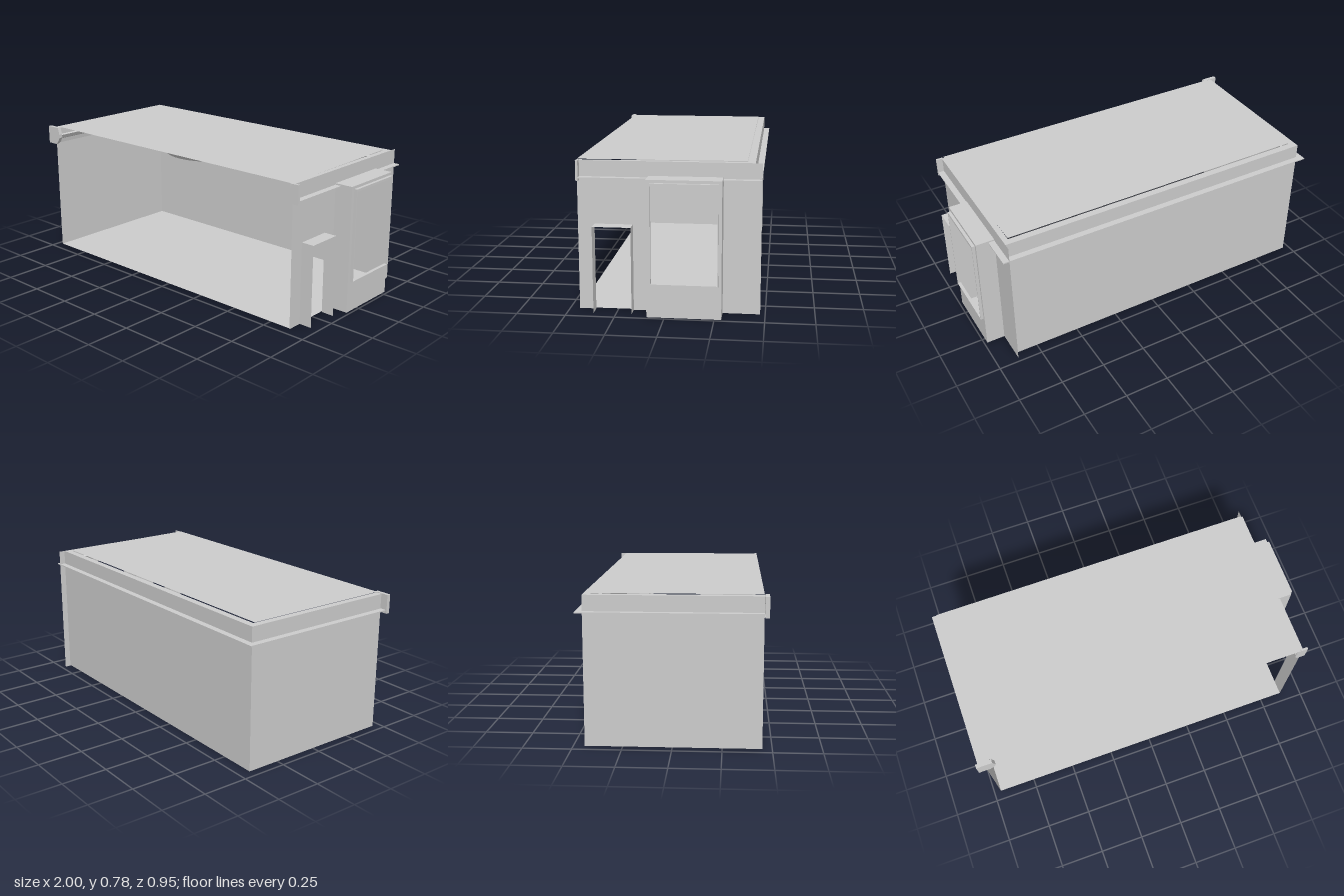
import * as THREE from 'three';

const mat = new THREE.MeshStandardMaterial({ color: 0xcccccc, side: THREE.DoubleSide });

// Room limits
const L = -0.96, R = 0.88, B = -0.44, F = 0.45, FLOOR = 0.005, TOP = 0.773;

export function createModel() {
  const model = new THREE.Group();
  model.name = 'room';

  const add = (name, geometry, x = 0, y = 0, z = 0, parent = model) => {
    const mesh = new THREE.Mesh(geometry, mat);
    mesh.name = name;
    mesh.position.set(x, y, z);
    parent.add(mesh);
    return mesh;
  };
  const poly = (pts) => new THREE.Shape(pts.map(([x, y]) => new THREE.Vector2(x, y)));
  const rect = (x0, x1, y0, y1) => poly([[x0, y0], [x1, y0], [x1, y1], [x0, y1]]);
  const withHoles = (shape, ...holes) => { shape.holes.push(...holes); return shape; };

  // Flat sheets: facing z, facing x (shape drawn in z, y) and facing y (shape drawn in x, z)
  const sheetZ = (name, shape, z, parent) => add(name, new THREE.ShapeGeometry(shape), 0, 0, z, parent);
  const sheetX = (name, shape, x, parent) =>
    add(name, new THREE.ShapeGeometry(shape).rotateY(-Math.PI / 2), x, 0, 0, parent);
  const sheetY = (name, shape, y, parent) =>
    add(name, new THREE.ShapeGeometry(shape).rotateX(Math.PI / 2), 0, y, 0, parent);

  // Shell, open at the front
  sheetY('floor', rect(L, R, B, F), FLOOR);
  sheetZ('backWall', rect(L, R, FLOOR, TOP), B);
  sheetX('leftSideWall', rect(B, F, FLOOR, TOP), L);
  sheetX('windowWall', withHoles(
    poly([[-0.475, 0], [-0.285, 0], [-0.285, 0.7], [0.09, 0.7], [0.09, 0], [0.17, 0],
      [0.17, 0.45], [0.365, 0.45], [0.365, 0], [F, 0], [F, TOP], [-0.475, TOP]])), R);
  sheetY('ceiling', poly([[-0.93, -0.4], [0.85, -0.4], [0.87, F], [-0.93, F]]), 0.778);

  // Window bay with a projecting frame
  const bay = new THREE.Group();
  bay.name = 'windowBay';
  model.add(bay);
  sheetX('bayFace', withHoles(rect(-0.285, 0.09, 0, 0.7), rect(-0.265, 0.066, 0.175, 0.672)), 0.983, bay);
  for (const z of [-0.285, 0.09]) sheetZ('baySide', rect(R, 0.983, 0, 0.7), z, bay);
  sheetY('bayTop', rect(R, 0.983, -0.285, 0.09), 0.7, bay);
  sheetY('bayFloor', rect(R, 0.983, -0.285, 0.09), FLOOR, bay);
  const frame = withHoles(rect(-0.27, 0.07, 0.172, 0.685), rect(-0.265, 0.066, 0.177, 0.672));
  add('windowFrame', new THREE.ExtrudeGeometry(frame, { depth: 0.018, bevelEnabled: false })
    .rotateY(-Math.PI / 2), 1, 0, 0, bay);

  // Doorway lining
  const door = new THREE.Group();
  door.name = 'doorway';
  model.add(door);
  for (const z of [0.17, 0.365]) sheetZ('doorJamb', rect(R, 0.952, 0, 0.45), z, door);
  sheetY('doorHead', rect(R, 0.952, 0.17, 0.365), 0.45, door);

  // Sweep a profile of [inward offset, height] round the three walls with mitred corners
  const path = [
    { p: [L, 0.455], d: [1, 0] },
    { p: [L, B], d: [1, 1] },
    { p: [R, B], d: [-0.8, 1] },
    { p: [R, 0.445], d: [-0.6, 0] },
  ];
  const sweep = (profile, stations) => {
    const pos = [];
    const at = ({ p, d }, [o, y]) => [p[0] + d[0] * o, y, p[1] + d[1] * o];
    for (let i = 0; i < stations.length - 1; i++) {
      for (let j = 0; j < profile.length - 1; j++) {
        const a = at(stations[i], profile[j]), b = at(stations[i + 1], profile[j]);
        const c = at(stations[i + 1], profile[j + 1]), e = at(stations[i], profile[j + 1]);
        pos.push(...a, ...b, ...c, ...a, ...c, ...e);
      }
    }
    const g = new THREE.BufferGeometry();
    g.setAttribute('position', new THREE.Float32BufferAttribute(pos, 3));
    g.computeVertexNormals();
    return g;
  };
  add('crownMoulding', sweep([[0, 0.67], [0.02, 0.676], [0.024, 0.7], [0.038, 0.706],
    [0.05, 0.728], [0.038, 0.733], [0.038, TOP], [0, TOP]], path));

  // Thin outer ledge behind the moulding
  const outer = path.map(({ p, d }) => ({ p, d: d.map(Math.sign) }));
  add('outerLedge', sweep([[0, 0.692], [-0.034, 0.692], [-0.034, 0.686], [0, 0.686]], outer));

  // Profiled end caps of the moulding
  const cap = (name, pts, z, depth) =>
    add(name, new THREE.ExtrudeGeometry(poly(pts), { depth, bevelEnabled: false }), 0, 0, z);
  cap('mouldingEndLeftSide', [[-1, 0.672], [-0.935, 0.672], [-0.915, 0.69], [-0.9, 0.715],
    [-0.9, 0.735], [-0.912, 0.776], [-1, 0.776]], 0.453, 0.021);
  cap('mouldingEndWindowSide', [[0.914, 0.672], [0.868, 0.672], [0.854, 0.695], [0.85, 0.72],
    [0.857, 0.745], [0.875, 0.776], [0.914, 0.776]], 0.438, 0.012);

  // Shallow round ceiling fitting
  add('ceilingRose', new THREE.CylinderGeometry(0.33, 0.27, 0.065, 48), -0.05, 0.735, 0.02);

  return model;
}
